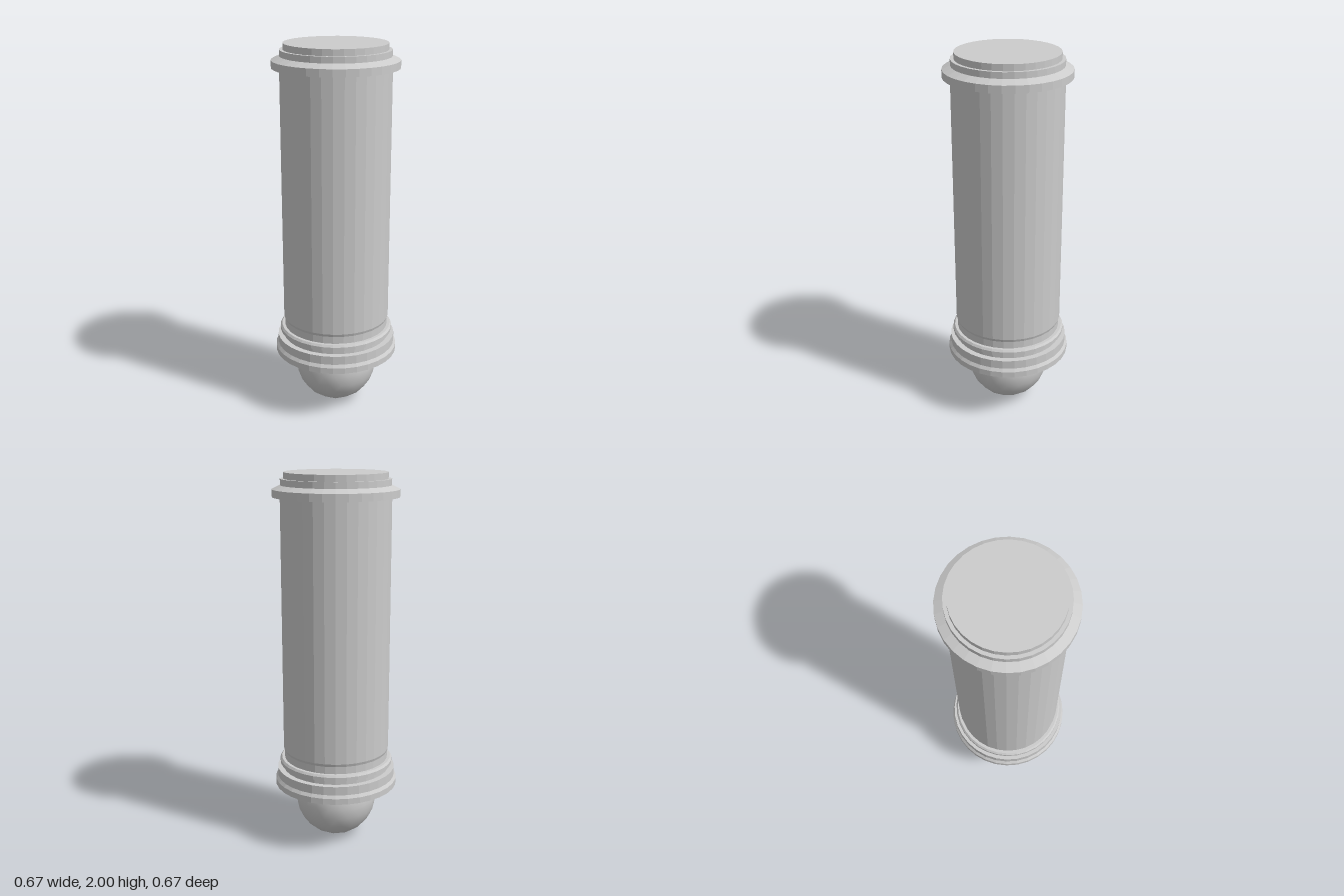
import * as THREE from 'three';

const SIDES = 32;

export function createModel() {
  const group = new THREE.Group();
  const faceted = new THREE.MeshStandardMaterial({ color: 0xcccccc, flatShading: true });
  const smooth = new THREE.MeshStandardMaterial({ color: 0xcccccc });

  // Turned part from [radius, height] pairs, listed bottom to top
  function turned(name, profile) {
    const points = profile.map(([r, y]) => new THREE.Vector2(r, y));
    const mesh = new THREE.Mesh(new THREE.LatheGeometry(points, SIDES), faceted);
    mesh.name = name;
    group.add(mesh);
  }

  // Stepped lower moulding with a closed underside
  turned('baseMoulding', [
    [0, 0.308], [0.335, 0.308], [0.335, 0.34], [0.323, 0.356],
    [0.323, 0.403], [0.292, 0.403], [0.292, 0.43],
    [0.309, 0.43], [0.309, 0.449], [0.3, 0.46], [0.28, 0.46],
  ]);

  // Main column, very slightly narrower at its foot
  turned('shaft', [[0.284, 0.455], [0.284, 0.5], [0.289, 0.515], [0.289, 1.88]]);

  // Upper collar with a sloping shoulder
  turned('topCollar', [
    [0.28, 1.876], [0.33, 1.876], [0.33, 1.915], [0.287, 1.935],
    [0.287, 1.967], [0.26, 1.967],
  ]);

  // Flat cap disc
  turned('cap', [[0.269, 1.96], [0.269, 2], [0, 2]]);

  // Low-poly ball finial, turned so that a vertex sits at the bottom
  const ballGeometry = new THREE.IcosahedronGeometry(0.222, 3);
  ballGeometry.rotateX(Math.atan((Math.sqrt(5) - 1) / 2) - Math.PI / 2);
  const ball = new THREE.Mesh(ballGeometry, smooth);
  ball.name = 'ballFinial';
  ball.position.y = 0.222;
  group.add(ball);

  return group;
}
